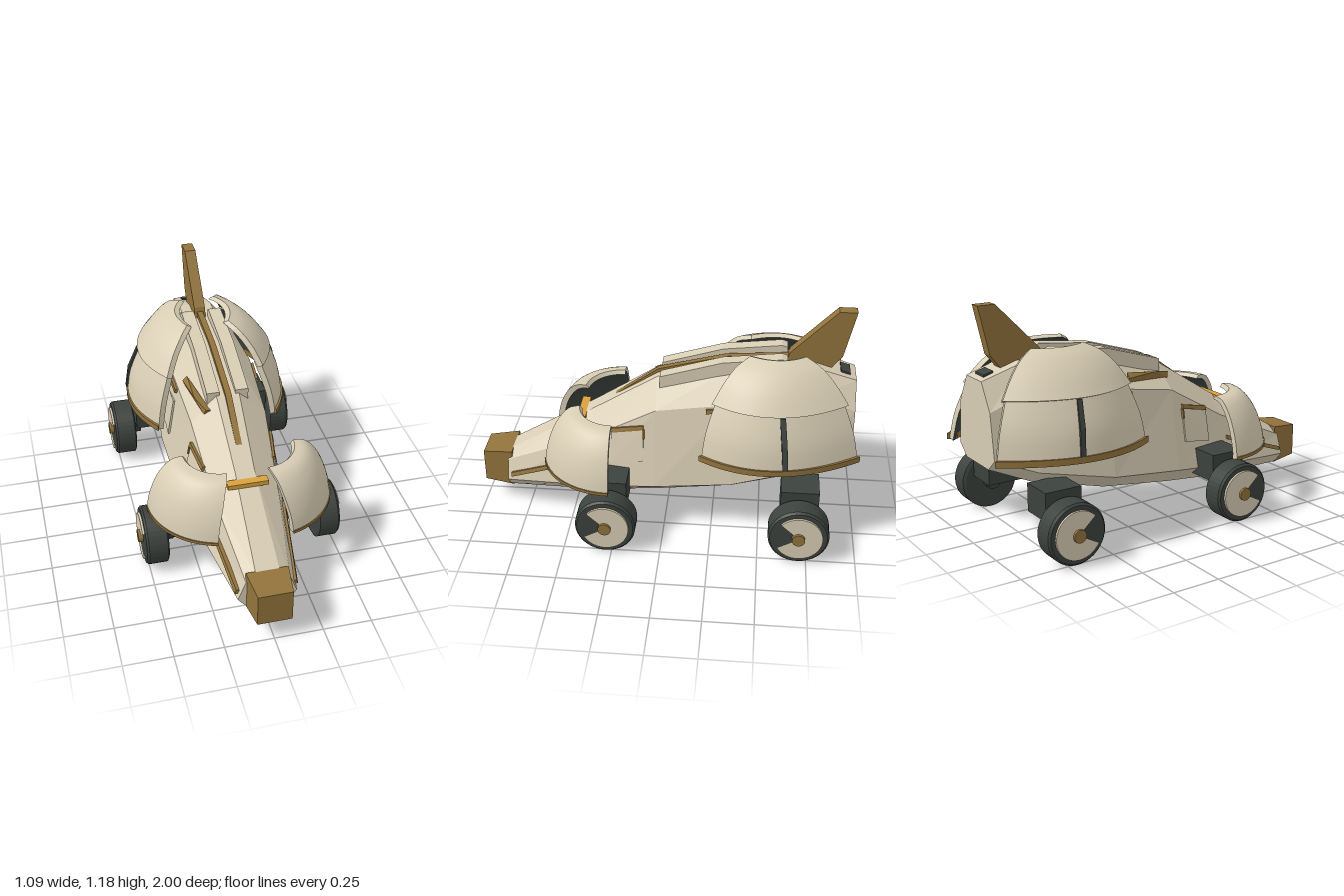
import * as THREE from 'three';
import { mergeVertices } from 'three/addons/utils/BufferGeometryUtils.js';
import { ConvexGeometry } from 'three/addons/geometries/ConvexGeometry.js';

const V = (x, y, z) => new THREE.Vector3(x, y, z);
const paint = (color, flatShading = true) =>
  new THREE.MeshStandardMaterial({ color, flatShading, side: THREE.DoubleSide });
const CREAM = paint(0xd8cdb4), CREAM_SMOOTH = paint(0xd8cdb4, false);
const BROWN = paint(0x92733c), DARK = paint(0x3c423e), DARK_SMOOTH = paint(0x3c423e, false);
const GOLD = paint(0xd9a13c);

// Hull stations: z, then bottom, side, shoulder and top corners as x, y
const HULL = [
  [0.86, 0.1, 0.1, 0.15, 0.16, 0.11, 0.265, 0.06, 0.3],
  [0.4, 0.14, 0.12, 0.235, 0.21, 0.17, 0.47, 0.05, 0.575],
  [0.05, 0.16, 0.16, 0.28, 0.255, 0.2, 0.67, 0.06, 0.795],
  [-0.35, 0.17, 0.215, 0.29, 0.3, 0.22, 0.74, 0.08, 0.89],
  [-0.75, 0.16, 0.32, 0.25, 0.39, 0.18, 0.78, 0.09, 0.9],
  [-0.96, 0.12, 0.41, 0.19, 0.47, 0.16, 0.7, 0.08, 0.835],
];

// Surface through rows of points
function grid(rows) {
  const n = rows[0].length, index = [];
  for (let i = 0; i < rows.length - 1; i++) for (let j = 0; j < n - 1; j++) {
    const a = i * n + j, b = a + 1, d = a + n, c = d + 1;
    index.push(a, d, c, a, c, b);
  }
  const g = new THREE.BufferGeometry().setFromPoints(rows.flat());
  g.setIndex(index);
  g.computeVertexNormals();
  return g;
}

function hullGeometry() {
  const rows = HULL.map(([z, ...p]) => {
    const right = [0, 2, 4, 6].map(k => V(p[k], p[k + 1], z));
    const left = right.map(v => V(-v.x, v.y, z)).reverse();
    return [...right, ...left, right[0].clone()];
  });
  const g = grid(rows), index = [...g.index.array], last = (rows.length - 1) * 9;
  for (let j = 1; j < 7; j++) index.push(0, j, j + 1, last, last + j + 1, last + j);
  g.setIndex(index);
  return g;
}

// Point on the hull flank at a given z and y
function flank(z, y) {
  let i = 0;
  while (i < HULL.length - 2 && HULL[i + 1][0] > z) i++;
  const t = (HULL[i][0] - z) / (HULL[i][0] - HULL[i + 1][0]);
  const s = HULL[i].map((v, k) => v + (HULL[i + 1][k] - v) * t);
  const k = y < s[6] ? 3 : 5;
  return V(s[k] + (s[k + 2] - s[k]) * (y - s[k + 1]) / (s[k + 3] - s[k + 1]), y, z);
}

// Plate lying on the flank, corners given as z, y
const flankPlate = (corners, out) => new ConvexGeometry(corners.flatMap(([z, y]) => {
  const p = flank(z, y);
  return [p.clone().add(V(out, out * 0.3, 0)), p.clone().add(V(-0.02, 0, 0))];
}));
const flankStrip = (z0, y0, z1, y1, w = 0.022) =>
  flankPlate([[z0, y0], [z1, y1], [z1, y1 + w], [z0, y0 + w]], 0.014);

// Side profile (z, y) given a width across x
const profile = (pts, x0, x1) =>
  new ConvexGeometry(pts.flatMap(([z, y]) => [V(x0, y, z), V(x1, y, z)]));

// Smooth a stack of rows upward
function refine(rows, n) {
  const cols = rows[0].map((_, j) => new THREE.CatmullRomCurve3(rows.map(r => r[j])).getPoints(n));
  return Array.from({ length: n + 1 }, (_, i) => cols.map(c => c[i]));
}

export function createModel() {
  const model = new THREE.Group();
  const add = (name, geo, mat) => {
    const m = new THREE.Mesh(geo, mat);
    m.name = name;
    model.add(m);
  };
  const pair = (name, geo, mat) => {
    add(name + 'Left', geo, mat);
    const g = mergeVertices(geo.clone());
    g.applyMatrix4(new THREE.Matrix4().makeScale(-1, 1, 1));
    g.setIndex([...g.index.array].reverse());
    add(name + 'Right', g, mat);
  };
  const box = (sx, sy, sz, x, y, z) => new THREE.BoxGeometry(sx, sy, sz).translate(x, y, z);

  // Hull with nose block
  add('hull', hullGeometry(), CREAM);
  add('noseBlock', new ConvexGeometry([-1, 1].flatMap(s => [
    V(s * 0.108, 0.1, 0.84), V(s * 0.108, 0.31, 0.84), V(s * 0.088, 0.115, 1), V(s * 0.088, 0.293, 1),
  ])), BROWN);

  // Spine, tail fin and roof rails
  const spine = [[0.35, 0.6], [0.05, 0.815], [-0.3, 0.905], [-0.65, 0.93]];
  for (let i = 0; i < 3; i++) {
    const [a, b] = [spine[i], spine[i + 1]];
    add('spine', profile([a, b, [a[0], a[1] - 0.06], [b[0], b[1] - 0.06]], -0.016, 0.016), BROWN);
  }
  add('tailFin', profile([[-0.6, 0.89], [-0.62, 0.95], [-0.85, 1.185], [-0.94, 1.185],
    [-0.885, 0.94], [-0.83, 0.87]], -0.03, 0.03), BROWN);
  pair('roofRail', profile([[0.035, 0.74], [0.035, 0.82], [-0.28, 0.915], [-0.58, 0.95],
    [-0.61, 0.94], [-0.61, 0.86]], 0.042, 0.11), CREAM);
  add('frontStrap', box(0.21, 0.025, 0.045, 0, 0.543, 0.452), GOLD);
  add('rearVent', profile([[-0.88, 0.85], [-0.93, 0.84], [-0.93, 0.855], [-0.88, 0.87]], -0.045, 0.045), DARK);
  add('underVent', profile([[-0.86, 0.36], [-0.94, 0.395], [-0.94, 0.41], [-0.86, 0.38]], -0.08, 0.08), DARK);

  // Flank trim
  pair('noseStrip', flankStrip(0.84, 0.18, 0.42, 0.335), BROWN);
  pair('sideStrip', flankStrip(0.28, 0.52, 0.11, 0.56), BROWN);
  pair('sidePanel', flankPlate([[0.28, 0.36], [0.11, 0.39], [0.11, 0.56], [0.28, 0.52]], 0.008), CREAM);
  pair('sidePanelEdge', flankPlate([[0.115, 0.51], [0.105, 0.51], [0.105, 0.56], [0.115, 0.56]], 0.014), BROWN);
  pair('rearPanel', flankPlate([[-0.225, 0.41], [-0.5, 0.45], [-0.5, 0.62], [-0.225, 0.62]], 0.008), CREAM);
  pair('rearStrip', flankStrip(-0.21, 0.68, -0.34, 0.7), BROWN);
  add('hatchStrip', new ConvexGeometry([V(-0.1, 0.745, 0.08), V(-0.125, 0.75, 0.08), V(-0.165, 0.77, -0.02),
    V(-0.19, 0.765, -0.2), V(-0.165, 0.79, -0.2), V(-0.135, 0.72, 0.07), V(-0.18, 0.74, -0.2)]), BROWN);

  // Thick fender shell: outer skin, dark lining and the rim between them
  const shell = (name, rows, inset) => {
    const inner = rows.map(r => r.map(inset));
    const loop = r => [...r[0], ...r.slice(1).map(q => q.at(-1)),
      ...r.at(-1).slice(0, -1).reverse(), ...r.slice(0, -1).reverse().map(q => q[0])];
    pair(name, grid(rows), CREAM_SMOOTH);
    pair(name + 'Lining', grid(inner.slice().reverse()), DARK_SMOOTH);
    pair(name + 'Rim', grid([loop(inner), loop(rows)]), CREAM);
  };
  // Trim following the lowest row of a shell
  const trim = (name, row, h, c) => {
    const ring = (k, y) => row.map(p => V(c.x + (p.x - c.x) * k, p.y + y, c.z + (p.z - c.z) * k));
    const rows = [ring(0.9, 0), ring(1.015, 0), ring(1.015, h), ring(0.9, h), ring(0.9, 0)];
    pair(name, grid(rows), BROWN);
    for (const e of [0, row.length - 1])
      pair(name + 'End', grid([[rows[0][e], rows[1][e]], [rows[3][e], rows[2][e]]]), BROWN);
  };

  // Rear fenders: levels of y, front x z, middle x, back x z
  const arc = ([y, xf, zf, xm, xb, zb]) => new THREE.QuadraticBezierCurve3(
    V(xf, y, zf), V(2 * xm - (xf + xb) / 2, y, -1.14 - (zf + zb) / 2), V(xb, y, zb)).getPoints(24);
  const lower = [[0.475, 0.33, -0.195, 0.436, 0.265, -0.985], [0.62, 0.305, -0.215, 0.412, 0.245, -0.955],
    [0.79, 0.25, -0.265, 0.345, 0.2, -0.89]];
  const upper = [[0.765, 0.265, -0.24, 0.368, 0.215, -0.92], [0.86, 0.22, -0.295, 0.298, 0.175, -0.85],
    [0.93, 0.165, -0.355, 0.22, 0.135, -0.775], [0.965, 0.115, -0.42, 0.15, 0.095, -0.7]];
  const rearInset = p => V(p.x - 0.028, p.y - 0.012, -0.58 + (p.z + 0.58) * 0.985);
  shell('rearFenderLower', refine(lower.map(arc), 6), rearInset);
  shell('rearFenderUpper', refine(upper.map(arc), 8), rearInset);
  trim('rearFenderTrim', arc([0.467, 0.33, -0.19, 0.436, 0.265, -0.99]), 0.032, V(0.1, 0, -0.58));
  pair('rearFenderSlit', new ConvexGeometry([[0.5, 0.438, -0.62], [0.63, 0.42, -0.61], [0.76, 0.368, -0.595]]
    .flatMap(([y, x, z]) => [V(x, y, z - 0.014), V(x, y, z + 0.014), V(x - 0.04, y, z)])), DARK);

  // Front fenders: quarter domes, radius and height per row
  const dome = ([r, y, end]) => Array.from({ length: 21 }, (_, j) => {
    const a = THREE.MathUtils.degToRad(end * (1 - j / 20));
    return V(0.1 + r * Math.cos(a), y, 0.265 + r * Math.sin(a));
  });
  const front = [[0.383, 0.34, 76], [0.368, 0.42, 77], [0.33, 0.52, 80], [0.28, 0.59, 83],
    [0.24, 0.618, 86], [0.19, 0.625, 88]];
  shell('frontFender', refine(front.map(dome), 12),
    p => V(0.1 + (p.x - 0.1) * 0.92, p.y - 0.02, 0.265 + (p.z - 0.265) * 0.92));
  trim('frontFenderTrim', dome([0.382, 0.328, 76]), 0.016, V(0.1, 0, 0.265));

  // Wheels, hubs with a wedge cut out, and their mounts
  const disc = (r, x0, x1, n = 40, start = 0, sweep = Math.PI * 2) =>
    new THREE.CylinderGeometry(r, r, x1 - x0, n, 1, false, start, sweep)
      .rotateZ(-Math.PI / 2).translate((x0 + x1) / 2, 0, 0);
  const tyre = new THREE.LatheGeometry([[0, 0.4], [0.14, 0.4], [0.155, 0.408], [0.155, 0.507], [0.145, 0.518],
    [0, 0.518]].map(([r, x]) => new THREE.Vector2(r, x)), 40).rotateZ(-Math.PI / 2);
  for (const [end, z] of [['front', 0.28], ['rear', -0.705]]) {
    const at = g => g.clone().translate(0, 0.155, z);
    pair(end + 'Tyre', at(tyre.toNonIndexed()), DARK);
    pair(end + 'Hub', at(disc(0.122, 0.5, 0.53, 36, 0.62, Math.PI * 2 - 1.24)
      .rotateX(-0.12)), CREAM);
    pair(end + 'HubCap', at(disc(0.033, 0.5, 0.543, 20)), BROWN);
    pair(end + 'Axle', at(disc(0.042, 0.36, 0.41, 20)), DARK);
    pair(end + 'Mount', box(0.18, 0.145, 0.195, 0.3, 0.268, z), DARK);
  }
  return model;
}
